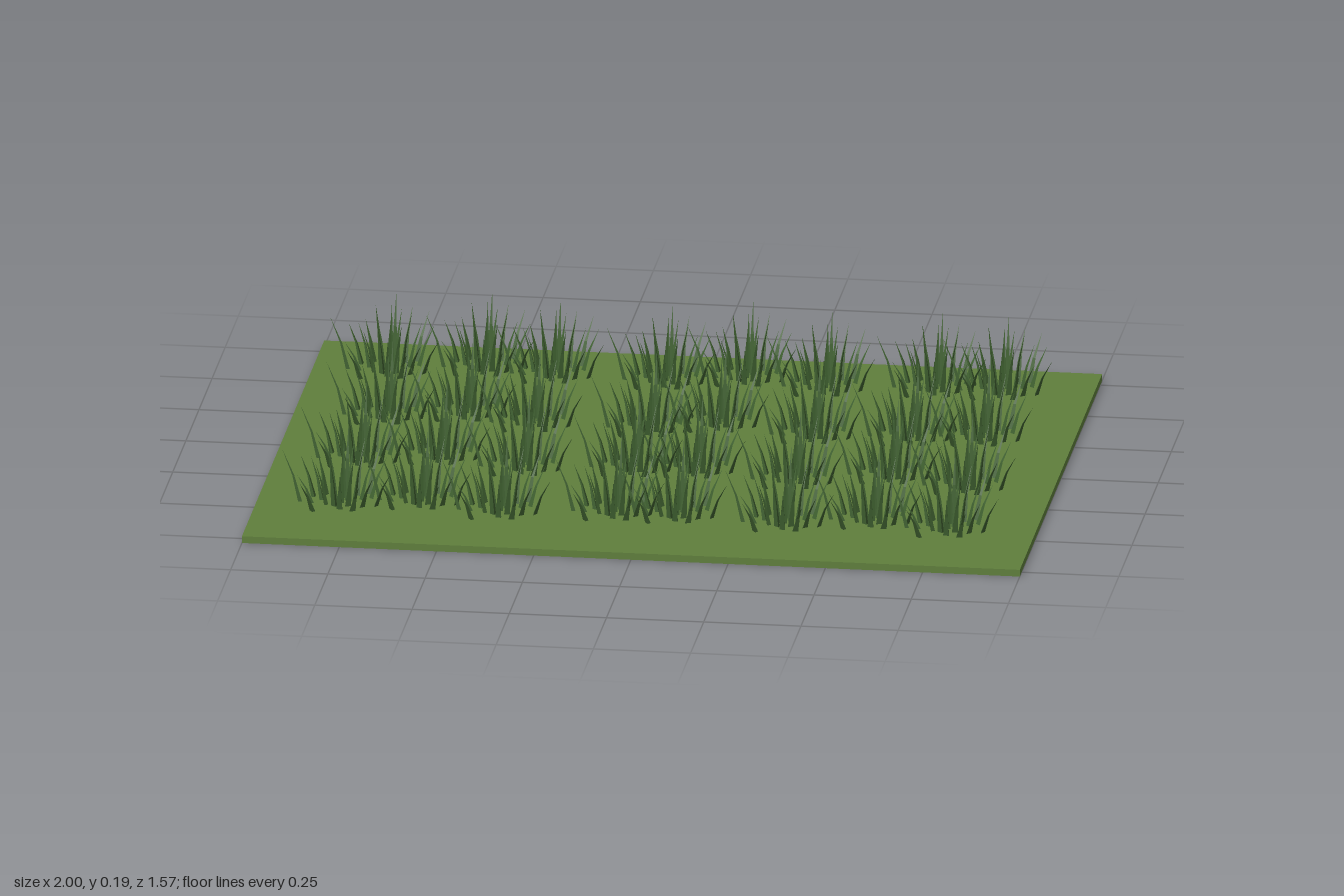
import * as THREE from 'three';
import { mergeGeometries } from 'three/addons/utils/BufferGeometryUtils.js';

// Blades of one tuft: tip offset x, tip offset z, tip height
const BLADES = [
  [-0.15, 0.01, 0.175], [-0.11, -0.05, 0.14], [-0.11, 0.02, 0.11], [-0.09, 0.12, 0.12],
  [-0.08, -0.02, 0.15], [-0.07, -0.08, 0.14], [-0.06, 0.04, 0.15], [-0.04, -0.05, 0.19],
  [-0.03, 0.01, 0.19], [-0.02, 0.06, 0.17], [0, -0.145, 0.19], [0, -0.06, 0.19],
  [0.01, 0.02, 0.19], [0.01, 0.09, 0.14], [0.03, -0.03, 0.19], [0.04, 0.05, 0.17],
  [0.05, -0.09, 0.18], [0.06, 0.1, 0.11], [0.06, 0, 0.19], [0.08, -0.04, 0.15],
  [0.09, -0.11, 0.16], [0.09, 0.05, 0.12], [0.11, -0.06, 0.14], [0.135, 0.03, 0.13],
];

// Tuft positions: x and z of the grid, with a small shift for each tuft
const ROW_X = [-0.79, -0.57, -0.37, -0.08, 0.09, 0.34, 0.59, 0.77];
const ROW_Z = [-0.55, -0.18, 0.17, 0.52];
const X_SHIFT = [
  [-0.01, 0.01, -0.01, -0.01, 0.02, -0.02, 0.01, 0],
  [0.03, 0.01, -0.01, 0, 0, 0, 0, 0],
  [0.01, -0.01, 0.01, 0, -0.01, 0, -0.01, 0.01],
  [0.01, -0.01, 0, 0, -0.01, 0.02, -0.01, 0.01],
];
const Z_SHIFT = [
  [0.02, -0.03, 0, 0.01, -0.04, 0.01, -0.02, -0.02],
  [0.01, -0.04, 0.02, 0.02, -0.04, 0.02, 0, -0.02],
  [0.01, -0.04, 0.02, -0.01, -0.02, 0.03, -0.04, 0.02],
  [0.01, -0.03, 0.02, -0.01, -0.01, 0.02, -0.03, 0.01],
];
const GRASS_BASE = 0.035;

// A slim three-sided leaf that tapers to a point and bends outward
function bladeGeometry([x, z, top]) {
  const height = top - GRASS_BASE;
  const reach = Math.hypot(x, z);
  const lean = 0.012 + reach * 0.23;
  const geo = new THREE.ConeGeometry(0.01, height, 3, 2, true);
  const pos = geo.attributes.position;
  for (let i = 0; i < pos.count; i++) {
    const t = Math.max(0, pos.getY(i) / height + 0.5);
    const bend = reach - lean + lean * t ** 1.4;
    pos.setXYZ(i, bend + pos.getX(i) * 0.6, GRASS_BASE + t * height, pos.getZ(i));
  }
  geo.rotateY(-Math.atan2(z, x));
  geo.computeVertexNormals();
  return geo;
}

export function createModel() {
  const model = new THREE.Group();
  model.name = 'grassPatch';

  // Ground slab
  const ground = new THREE.Mesh(
    new THREE.BoxGeometry(2, 0.018, 1.57),
    new THREE.MeshStandardMaterial({ color: 0x5f7f3c }),
  );
  ground.name = 'groundSlab';
  ground.position.y = 0.009;
  model.add(ground);

  // Rows of identical tufts
  const tuftGeo = mergeGeometries(BLADES.map(bladeGeometry));
  const tuftMat = new THREE.MeshStandardMaterial({ color: 0x3f6030, flatShading: true });
  ROW_Z.forEach((z, r) => {
    const row = new THREE.Group();
    row.name = `grassRow${r + 1}`;
    ROW_X.forEach((x, c) => {
      const tuft = new THREE.Mesh(tuftGeo, tuftMat);
      tuft.name = `grassTuft${c + 1}`;
      tuft.position.set(x + X_SHIFT[r][c], 0, z + Z_SHIFT[r][c]);
      row.add(tuft);
    });
    model.add(row);
  });

  return model;
}
